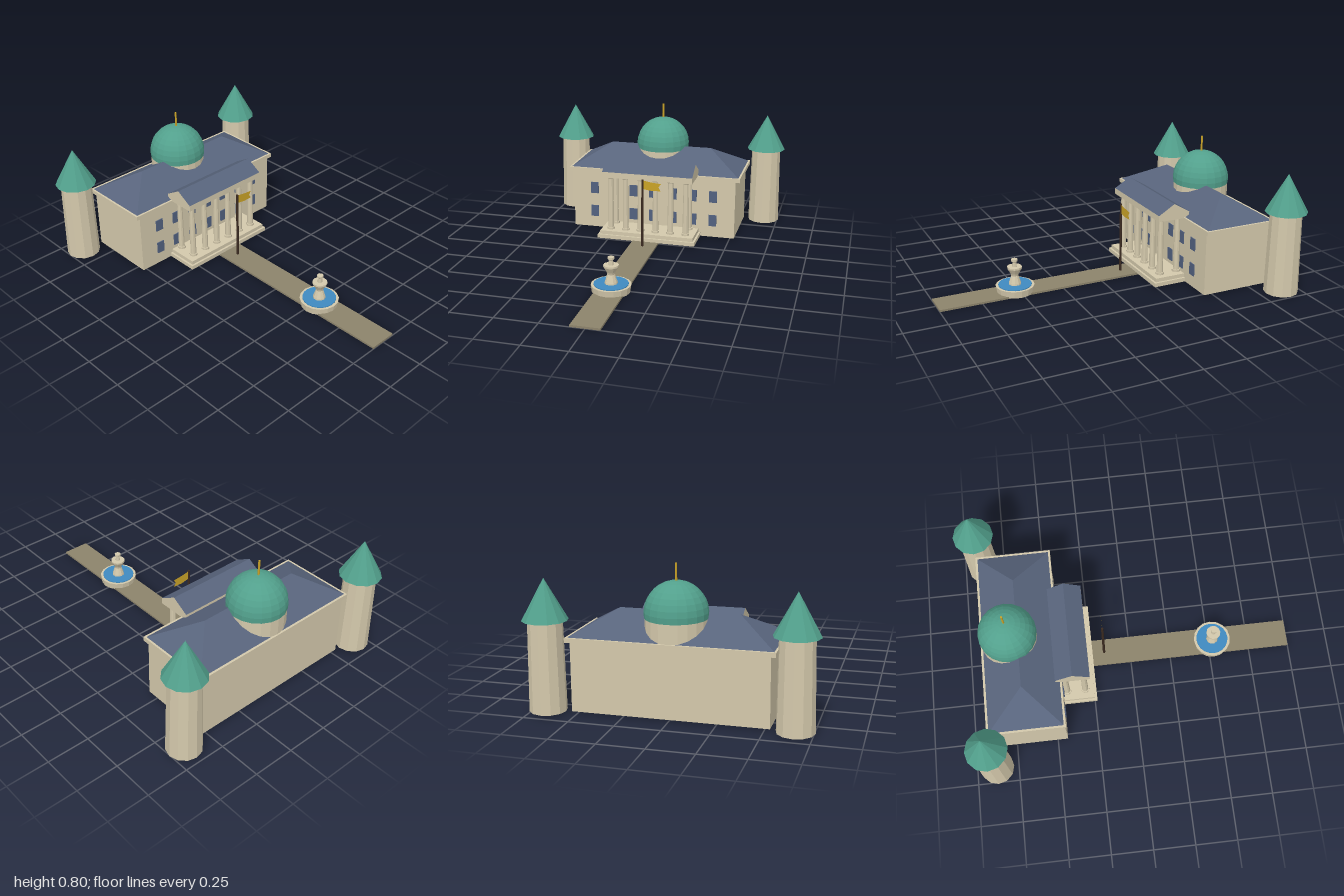
import * as THREE from 'three';

export function createModel() {
  const model = new THREE.Group();
  const material = (name, color, extra = {}) => {
    const m = new THREE.MeshStandardMaterial({ color, flatShading: true, ...extra });
    m.name = name;
    return m;
  };
  const stone = material('stone', 0xd3c8ab);
  const slate = material('slate', 0x58647c);
  const copper = material('copper', 0x52a08c);
  const gold = material('gold', 0xc9a227, { side: THREE.DoubleSide });
  const water = material('water', 0x3f8ac0);
  const paving = material('paving', 0x8c836b);
  const glass = material('glass', 0x52617f);
  const wood = material('wood', 0x3a2a20);

  const add = (name, geometry, mat, x = 0, y = 0, z = 0, parent = model) => {
    const mesh = new THREE.Mesh(geometry, mat);
    mesh.name = name;
    mesh.position.set(x, y, z);
    parent.add(mesh);
    return mesh;
  };
  // Box given by its half width, bottom, top, back and front
  const block = (name, hx, y0, y1, z0, z1, mat = stone) =>
    add(name, new THREE.BoxGeometry(2 * hx, y1 - y0, z1 - z0), mat, 0, (y0 + y1) / 2, (z0 + z1) / 2);
  // Upright cylinder or cone given by bottom and top heights
  const post = (name, rBottom, rTop, y0, y1, x, z, sides, mat = stone, parent = model) =>
    add(name, new THREE.CylinderGeometry(rTop, rBottom, y1 - y0, sides), mat, x, (y0 + y1) / 2, z, parent);

  // Roof with its ridge along x: slopes are group 0, ends are group 1
  const ridgeRoof = (name, hx, hz, ridge, height, mats, y, z) => {
    const a = [-hx, 0, hz], b = [hx, 0, hz], c = [hx, 0, -hz], d = [-hx, 0, -hz];
    const l = [-ridge, height, 0], r = [ridge, height, 0];
    const faces = [a, b, r, a, r, l, c, d, l, c, l, r, b, c, r, d, a, l, a, d, c, a, c, b];
    const g = new THREE.BufferGeometry();
    g.setAttribute('position', new THREE.Float32BufferAttribute(faces.flat(), 3));
    g.addGroup(0, 12, 0);
    g.addGroup(12, 12, 1);
    g.computeVertexNormals();
    return add(name, g, mats, 0, y, z);
  };

  // Main building
  block('mainBody', 0.53, 0.01, 0.385, -0.872, -0.438);
  block('cornice', 0.557, 0.385, 0.41, -0.883, -0.428);
  ridgeRoof('mainRoof', 0.545, 0.215, 0.327, 0.127, [slate, slate], 0.41, -0.655);

  // Two rows of windows
  for (const y of [0.12, 0.278])
    for (let i = -3; i <= 3; i++)
      add('window', new THREE.BoxGeometry(0.05, 0.074, 0.008), glass, i * 0.13, y, -0.436);

  // Dome on its drum
  post('domeDrum', 0.166, 0.166, 0.4, 0.515, 0, -0.71, 20);
  add('dome', new THREE.SphereGeometry(0.17, 20, 9, 0, Math.PI * 2, 0, Math.PI * 0.55), copper, 0, 0.54, -0.71);
  post('finial', 0.006, 0.006, 0.69, 0.8, 0, -0.71, 8, gold);

  // Portico: steps, beam and gabled roof
  block('lowerStep', 0.313, 0.01, 0.034, -0.45, -0.235);
  block('upperStep', 0.3, 0.034, 0.057, -0.45, -0.248);
  block('porticoBeam', 0.288, 0.405, 0.442, -0.465, -0.264);
  ridgeRoof('porticoRoof', 0.288, 0.101, 0.288, 0.06, [slate, stone], 0.442, -0.365);

  // Columns with base and capital
  const column = (x, z) => {
    const g = new THREE.Group();
    g.name = 'column';
    post('columnBase', 0.025, 0.025, 0.057, 0.07, x, z, 10, stone, g);
    post('columnShaft', 0.019, 0.016, 0.07, 0.393, x, z, 10, stone, g);
    post('columnCapital', 0.02, 0.025, 0.393, 0.405, x, z, 10, stone, g);
    model.add(g);
  };
  for (let i = 0; i < 6; i++) column((i - 2.5) * 0.097, -0.303);
  for (const side of [-1, 1]) column(side * 0.2425, -0.414);

  // Corner towers
  for (const side of [-1, 1]) {
    post('tower', 0.1, 0.092, 0.01, 0.5, side * 0.66, -0.878, 12);
    add('towerRoof', new THREE.ConeGeometry(0.122, 0.222, 12), copper, side * 0.66, 0.611, -0.878);
  }

  // Path
  block('path', 0.083, 0, 0.012, -0.36, 1, paving);

  // Flagpole with swallow-tailed flag
  post('flagpole', 0.008, 0.007, 0.01, 0.443, 0, -0.162, 8, wood);
  const flag = new THREE.Shape([
    [0.004, 0.438], [0.05, 0.43], [0.115, 0.424], [0.1, 0.402],
    [0.113, 0.378], [0.055, 0.376], [0.004, 0.384],
  ].map(([x, y]) => new THREE.Vector2(x, y)));
  add('flag', new THREE.ShapeGeometry(flag), gold, 0, 0, -0.162);

  // Fountain: basin, water and pedestal with upper bowl
  const fz = 0.524;
  post('fountainBasin', 0.108, 0.114, 0.004, 0.046, 0, fz, 16);
  post('fountainWater', 0.098, 0.098, 0.044, 0.051, 0, fz, 20, water);
  const profile = [
    [0, 0.045], [0.038, 0.045], [0.036, 0.06], [0.021, 0.105], [0.025, 0.118],
    [0.044, 0.15], [0.044, 0.16], [0.014, 0.16], [0.012, 0.188], [0.019, 0.194],
    [0.019, 0.206], [0, 0.206],
  ].map(([r, y]) => new THREE.Vector2(r, y));
  add('fountainPedestal', new THREE.LatheGeometry(profile, 10), stone, 0, 0, fz);

  return model;
}
